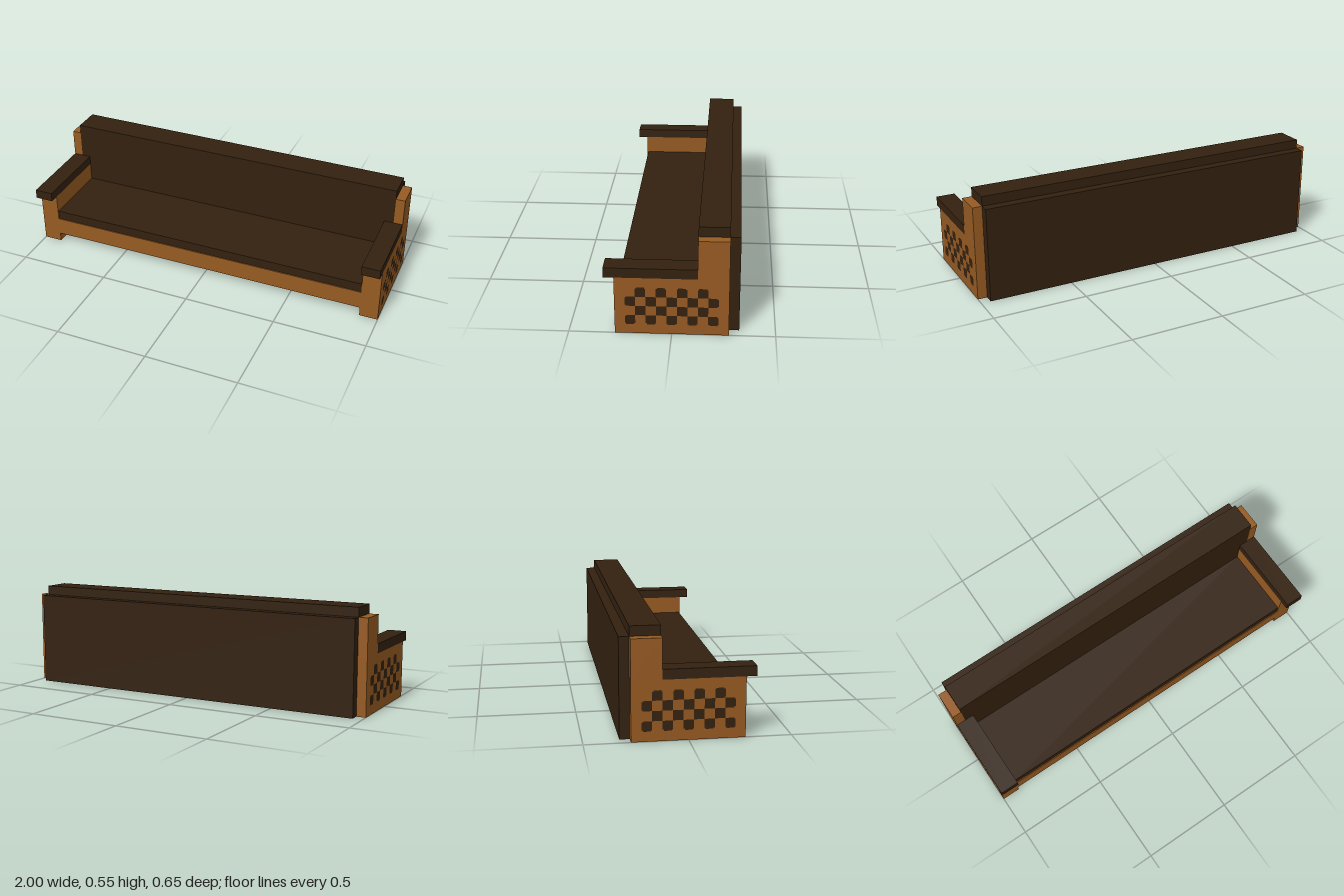
import * as THREE from 'three';

const wood = new THREE.MeshStandardMaterial({ color: 0x965a22 });
wood.name = 'warm wood';
const dark = new THREE.MeshStandardMaterial({ color: 0x33210f });
dark.name = 'dark upholstery';

// Box given by its minimum and maximum corners
function box(name, material, [x0, y0, z0], [x1, y1, z1]) {
  const mesh = new THREE.Mesh(new THREE.BoxGeometry(x1 - x0, y1 - y0, z1 - z0), material);
  mesh.position.set((x0 + x1) / 2, (y0 + y1) / 2, (z0 + z1) / 2);
  mesh.name = name;
  return mesh;
}

// Checker cells on a grid: odd rows hold four cells, even rows five
const CELL = 0.05, NOTCH = 0.006;
const filled = (c, r) => r >= 0 && r < 4 && c >= 0 && c < 9 && (c + r) % 2 === 0;

// One square whose free corners are notched; joined corners stay sharp
function cellShape(c, r) {
  const u = (c - 4) * CELL, v = 0.075 + r * CELL, h = CELL / 2;
  const points = [];
  [[-1, -1], [1, -1], [1, 1], [-1, 1]].forEach(([sx, sy], i) => {
    const x = u + sx * h, y = v + sy * h;
    if (filled(c + sx, r + sy)) {
      points.push(new THREE.Vector2(x, y));
      return;
    }
    const onSide = new THREE.Vector2(x, y - sy * NOTCH);
    const inner = new THREE.Vector2(x - sx * NOTCH, y - sy * NOTCH);
    const onEdge = new THREE.Vector2(x - sx * NOTCH, y);
    points.push(...(i % 2 === 0 ? [onSide, inner, onEdge] : [onEdge, inner, onSide]));
  });
  return new THREE.Shape(points);
}

function checkerPanel(side) {
  const shapes = [];
  for (let r = 0; r < 4; r++)
    for (let c = 0; c < 9; c++) if (filled(c, r)) shapes.push(cellShape(c, r));
  const panel = new THREE.Mesh(new THREE.ShapeGeometry(shapes), dark);
  panel.name = 'checkerPanel';
  panel.rotation.y = side * Math.PI / 2;
  panel.position.x = side * 1.001;
  return panel;
}

// Arm assembly: side panel, rear post, armrest and inlay
function arm(side) {
  const group = new THREE.Group();
  group.name = side > 0 ? 'leftArm' : 'rightArm';
  const part = (name, material, x0, lo, hi) => {
    const [a, b] = side > 0 ? [x0, 1] : [-1, -x0];
    group.add(box(name, material, [a, ...lo], [b, ...hi]));
  };
  part('sidePanel', wood, 0.9, [0, -0.275], [0.3, 0.275]);
  part('rearPost', wood, 0.95, [0.3, -0.275], [0.5, -0.125]);
  part('armrest', dark, 0.9, [0.3, -0.125], [0.35, 0.325]);
  group.add(checkerPanel(side));
  return group;
}

export function createModel() {
  const model = new THREE.Group();
  model.name = 'sofa';

  // Recessed plinth with a dark front, and front rail with a dark underside
  const plinthFaces = [wood, wood, wood, wood, dark, wood];
  const railFaces = [wood, wood, wood, dark, wood, wood];
  model.add(box('plinth', plinthFaces, [-0.9, 0, -0.275], [0.9, 0.05, 0.175]));
  model.add(box('seatRail', railFaces, [-0.9, 0.05, -0.275], [0.9, 0.15, 0.275]));

  // Upholstery
  model.add(box('seatCushion', dark, [-0.9, 0.15, -0.125], [0.9, 0.2, 0.27]));
  model.add(box('lowerBackCushion', dark, [-0.9, 0.15, -0.275], [0.9, 0.3, -0.125]));
  model.add(box('backCushion', dark, [-0.95, 0.3, -0.275], [0.95, 0.55, -0.125]));
  model.add(box('backPanel', dark, [-0.95, 0, -0.325], [0.95, 0.5, -0.275]));

  for (const side of [-1, 1]) model.add(arm(side));
  return model;
}
